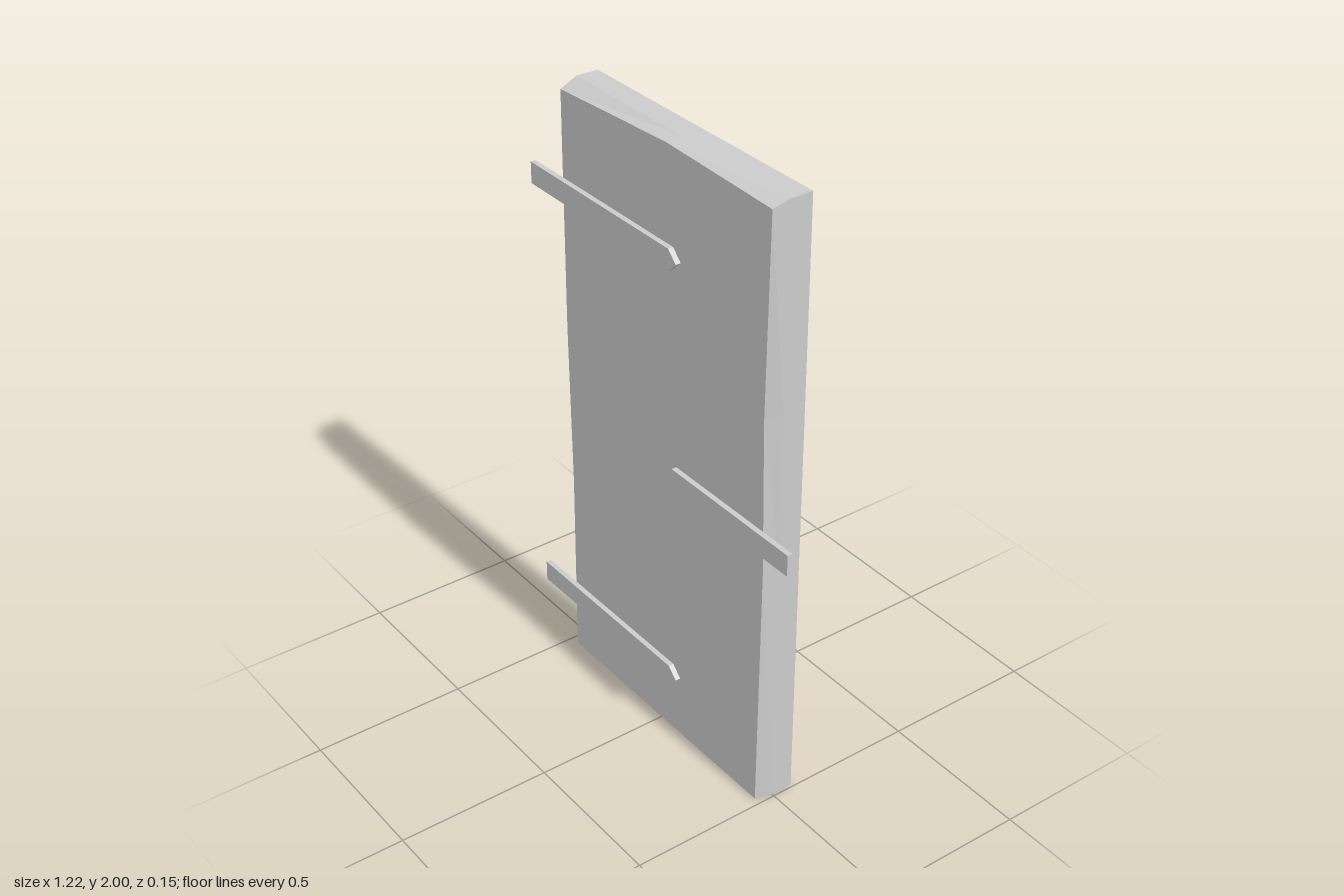
import * as THREE from 'three';

const BACK = -0.073, MID = 0, FRONT = 0.056, STRAP = 0.073;

// Slab with square back edges and a hand-worn front outline
function slabGeometry() {
  const front = [
    [-0.466, 0.003], [0.478, 0.003], [0.487, 0.85], [0.475, 1.35], [0.486, 1.985],
    [0.03, 2], [-0.468, 1.975], [-0.47, 1.2], [-0.46, 0.65],
  ];
  const square = front.map(([x, y]) => [
    x < -0.3 ? -0.47 : x > 0.3 ? 0.49 : x,
    y > 1.9 ? 2 : y < 0.1 ? 0 : y,
  ]);
  const n = front.length;
  const positions = [], index = [];
  [[square, BACK], [square, MID], [front, FRONT]].forEach(([loop, z]) =>
    loop.forEach(([x, y]) => positions.push(x, y, z)));

  // Side walls between neighbouring sections
  for (let s = 0; s < 2; s++) {
    for (let i = 0; i < n; i++) {
      const a = s * n + i, b = s * n + (i + 1) % n;
      index.push(a, b, b + n, a, b + n, a + n);
    }
  }
  // Front and back faces
  const caps = (loop) => THREE.ShapeUtils.triangulateShape(loop.map(([x, y]) => new THREE.Vector2(x, y)), []);
  caps(front).forEach(([a, b, c]) => index.push(2 * n + a, 2 * n + b, 2 * n + c));
  // The square back is a fan around its top middle point
  for (let k = 1; k < n - 1; k++) index.push(5, (5 + k + 1) % n, (5 + k) % n);

  const geometry = new THREE.BufferGeometry();
  geometry.setAttribute('position', new THREE.Float32BufferAttribute(positions, 3));
  geometry.setIndex(index);
  const flat = geometry.toNonIndexed();
  flat.computeVertexNormals();
  return flat;
}

// Flat hinge strap: square at the outer end, pointed at the tip
function strapGeometry(outer, shoulder, tip, y) {
  const h = 0.035;
  const shape = new THREE.Shape([
    [outer, y - h], [shoulder, y - h], [tip, y], [shoulder, y + h], [outer, y + h],
  ].map(([x, v]) => new THREE.Vector2(x, v)));
  const geometry = new THREE.ExtrudeGeometry(shape, { depth: STRAP - FRONT, bevelEnabled: false });
  return geometry.translate(0, 0, FRONT);
}

export function createModel() {
  const group = new THREE.Group();
  group.name = 'door';
  const material = new THREE.MeshStandardMaterial({ color: 0xcccccc, flatShading: true });
  const add = (name, geometry) => {
    const mesh = new THREE.Mesh(geometry, material);
    mesh.name = name;
    group.add(mesh);
  };

  add('doorSlab', slabGeometry());
  add('upperHingeStrap', strapGeometry(-0.612, 0.065, 0.1, 1.665));
  add('lowerHingeStrap', strapGeometry(-0.612, 0.065, 0.1, 0.22));
  add('latchStrap', strapGeometry(0.612, 0.08, 0.063, 0.955));
  return group;
}
